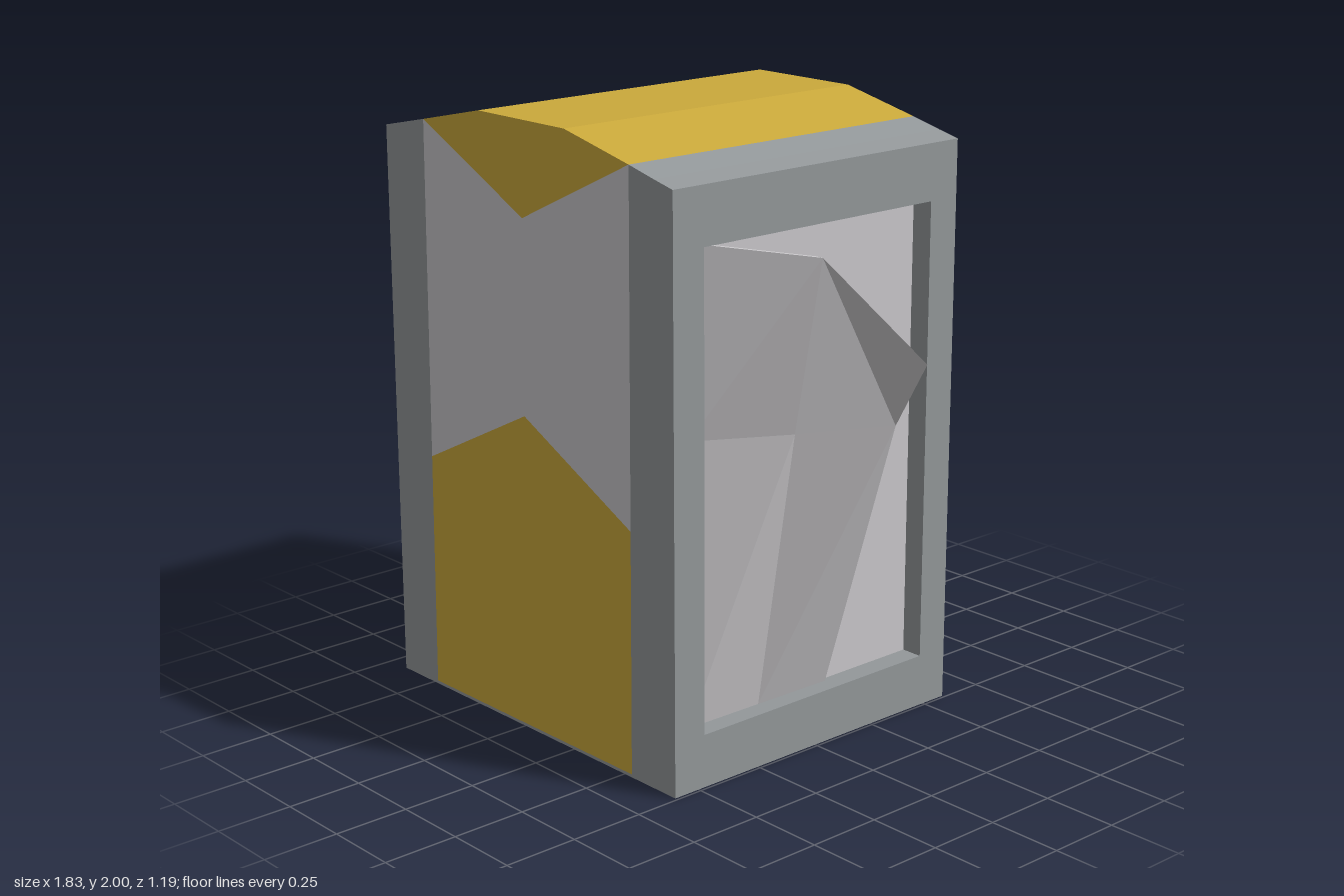
import * as THREE from 'three';

const DEPTH = 1.19;

export function createModel() {
  const group = new THREE.Group();
  const material = (name, color) => {
    const m = new THREE.MeshStandardMaterial({ color });
    m.name = name;
    return m;
  };
  const grey = material('casing grey', 0x93989a);
  const yellow = material('yellow', 0xcba93b);
  const light = material('light grey', 0xcac8cb);

  const add = (name, geometry, mat) => {
    const mesh = new THREE.Mesh(geometry, mat);
    mesh.name = name;
    group.add(mesh);
    return mesh;
  };
  const toShape = (pts) => new THREE.Shape(pts.map(([x, y]) => new THREE.Vector2(x, y)));

  // A front outline carried straight through to the back
  const prism = (name, mat, pts) => {
    const geo = new THREE.ExtrudeGeometry(toShape(pts), { depth: DEPTH, bevelEnabled: false });
    geo.translate(0, 0, -DEPTH / 2);
    return add(name, geo, mat);
  };

  // Casing: grey ends and base, coloured bands between them
  prism('base', grey, [[-0.915, 0], [0.41, 0], [0.41, 0.01], [-0.915, 0.01]]);
  prism('leftEndColumn', grey, [[-0.915, 0.01], [-0.73, 0.01], [-0.71, 1.935], [-0.915, 1.89]]);
  prism('rightEndColumn', grey, [[0.285, 0.01], [0.41, 0.01], [0.41, 1.908], [0.297, 1.935]]);
  prism('lowerBand', yellow, [[-0.73, 0.01], [0.285, 0.01], [0.29, 0.81], [-0.22, 1.06], [-0.722, 0.81]]);
  prism('middleBand', light, [[-0.722, 0.81], [-0.22, 1.06], [0.29, 0.81], [0.297, 1.935], [-0.21, 1.695], [-0.71, 1.935]]);
  prism('topBand', yellow, [[-0.71, 1.935], [-0.21, 1.695], [0.297, 1.935], [0, 2], [-0.42, 2]]);

  // Frame around the recess, its top sloping up towards the roof
  const h = DEPTH / 2;
  const frame = toShape([[-h, 0], [h, 0], [h, 1.89], [-h, 1.89]]);
  frame.holes.push(new THREE.Path(
    [[-0.475, 0.175], [-0.475, 1.705], [0.48, 1.705], [0.48, 0.175]].map(([x, y]) => new THREE.Vector2(x, y))));
  const frameGeo = new THREE.ExtrudeGeometry(frame, { depth: 0.08, bevelEnabled: false });
  const pos = frameGeo.attributes.position;
  for (let i = 0; i < pos.count; i++) {
    if (pos.getY(i) > 1.88 && pos.getZ(i) < 0.01) pos.setY(i, 1.908);
  }
  frameGeo.rotateY(Math.PI / 2);
  frameGeo.translate(0.41, 0, 0);
  frameGeo.computeVertexNormals();
  add('recessFrame', frameGeo, grey);

  // Panel at the back of the recess
  const panel = add('recessPanel', new THREE.BoxGeometry(0.006, 1.53, 0.955), light);
  panel.position.set(0.412, 0.94, -0.0025);

  // Sheet peeled out of the recess, with a folded corner
  const outer = [
    [0.42, 0.175, 0.475], [0.425, 0.175, 0.19], [0.43, 0.175, -0.1], // lower edge
    [0.72, 1.1, -0.1], [0.91, 1.345, -0.03], [0.68, 1.66, 0.18],     // free edge
    [0.42, 1.705, 0.475], [0.42, 1.1, 0.475],                        // held edge
    [0.58, 1.1, 0.19],                                               // crease
  ];
  const inner = outer.map(([x, y, z], i) => [i === 4 ? x : x - 0.03, y, z]);
  const faces = [[0, 1, 8], [0, 8, 7], [1, 2, 3], [1, 3, 8], [7, 8, 5], [7, 5, 6], [8, 3, 5], [5, 3, 4]];
  const verts = [];
  for (const [a, b, c] of faces) {
    verts.push(...outer[a], ...outer[b], ...outer[c], ...inner[a], ...inner[c], ...inner[b]);
  }
  for (let i = 0; i < 8; i++) {
    const j = (i + 1) % 8;
    verts.push(...outer[i], ...inner[i], ...inner[j], ...outer[i], ...inner[j], ...outer[j]);
  }
  const sheet = new THREE.BufferGeometry();
  sheet.setAttribute('position', new THREE.Float32BufferAttribute(verts, 3));
  sheet.computeVertexNormals();
  add('peeledSheet', sheet, light);

  return group;
}
